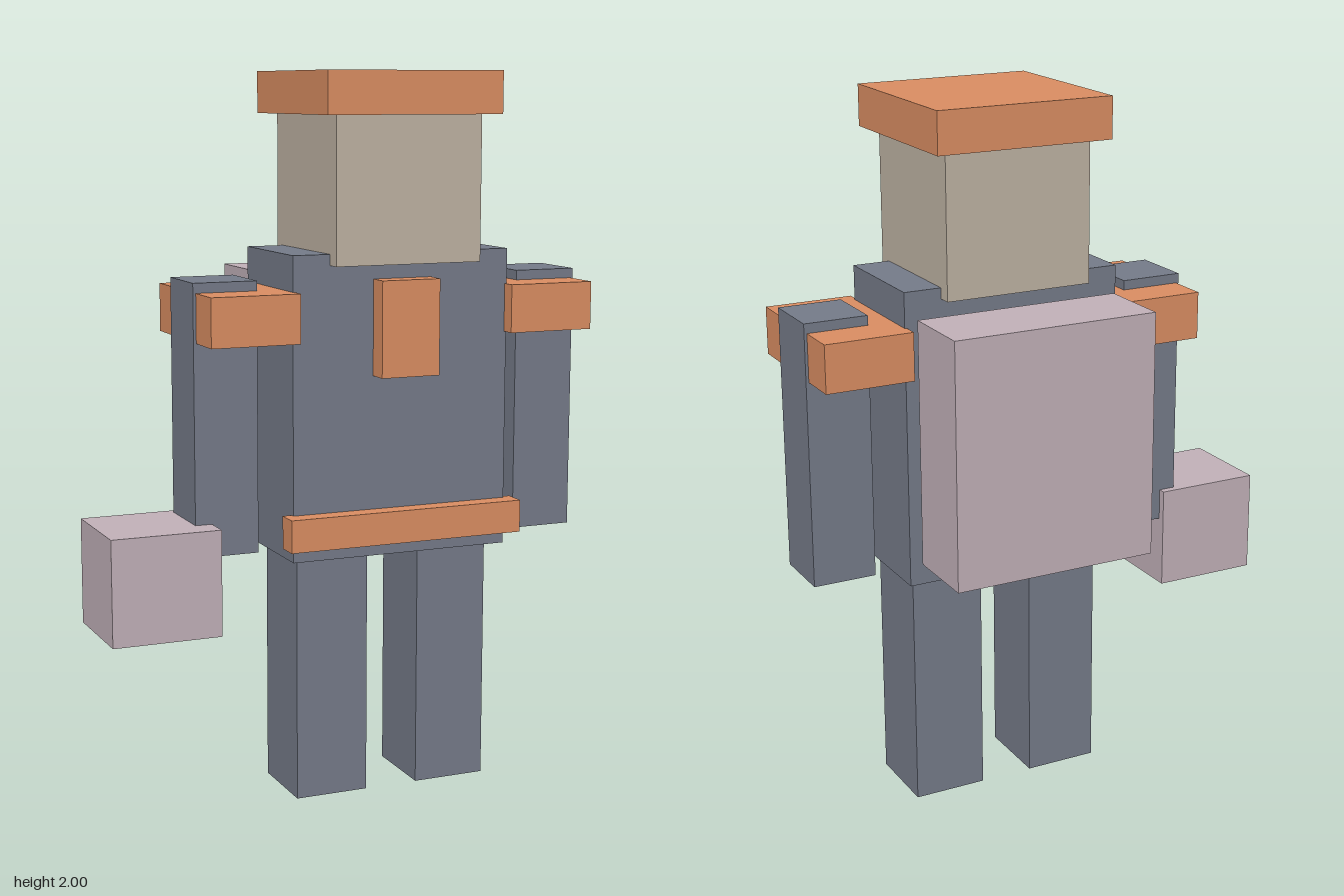
import * as THREE from 'three';

const material = (color) => new THREE.MeshStandardMaterial({ color, flatShading: true });

export function createModel() {
  const model = new THREE.Group();
  model.name = 'blockFigure';

  const slate = material(0x767c8a);
  const orange = material(0xdc8f63);
  const beige = material(0xc0b4a4);
  const mauve = material(0xc3b2ba);

  // Box given by its extents along each axis
  const block = (name, mat, [x0, x1], [y0, y1], [z0, z1]) => {
    const mesh = new THREE.Mesh(new THREE.BoxGeometry(x1 - x0, y1 - y0, z1 - z0), mat);
    mesh.position.set((x0 + x1) / 2, (y0 + y1) / 2, (z0 + z1) / 2);
    mesh.name = name;
    model.add(mesh);
  };

  // The body's own centre line; the held box shifts the figure to +x
  const cx = 0.128;
  const centred = (half) => [cx - half, cx + half];

  // Torso, head and cap
  block('torso', slate, centred(0.318), [0.69, 1.52], [-0.083, 0.253]);
  block('head', beige, centred(0.212), [1.49, 1.89], [-0.123, 0.297]);
  block('cap', orange, centred(0.254), [1.885, 2], [-0.168, 0.337]);

  // Paired limbs and shoulder pads
  for (const side of [-1, 1]) {
    const label = side > 0 ? 'left' : 'right';
    const mirrored = (a, b) => (side > 0 ? [cx + a, cx + b] : [cx - b, cx - a]);
    block(label + 'Leg', slate, mirrored(0.077, 0.287), [0, 0.695], [-0.027, 0.2]);
    block(label + 'Arm', slate, mirrored(0.39, 0.57), [0.71, 1.45], [-0.008, 0.177]);
    block(label + 'ShoulderPad', orange, mirrored(0.312, 0.562), [1.29, 1.423], [-0.127, 0.295]);
  }

  // Front trim
  block('chestPlate', orange, centred(0.085), [1.188, 1.45], [0.24, 0.312]);
  block('belt', orange, centred(0.344), [0.73, 0.82], [0.24, 0.305]);

  // Carried items
  block('backpack', mauve, centred(0.295), [0.762, 1.45], [-0.337, -0.114]);
  block('heldBox', mauve, [-0.7, -0.395], [0.508, 0.8], [-0.03, 0.253]);

  return model;
}
